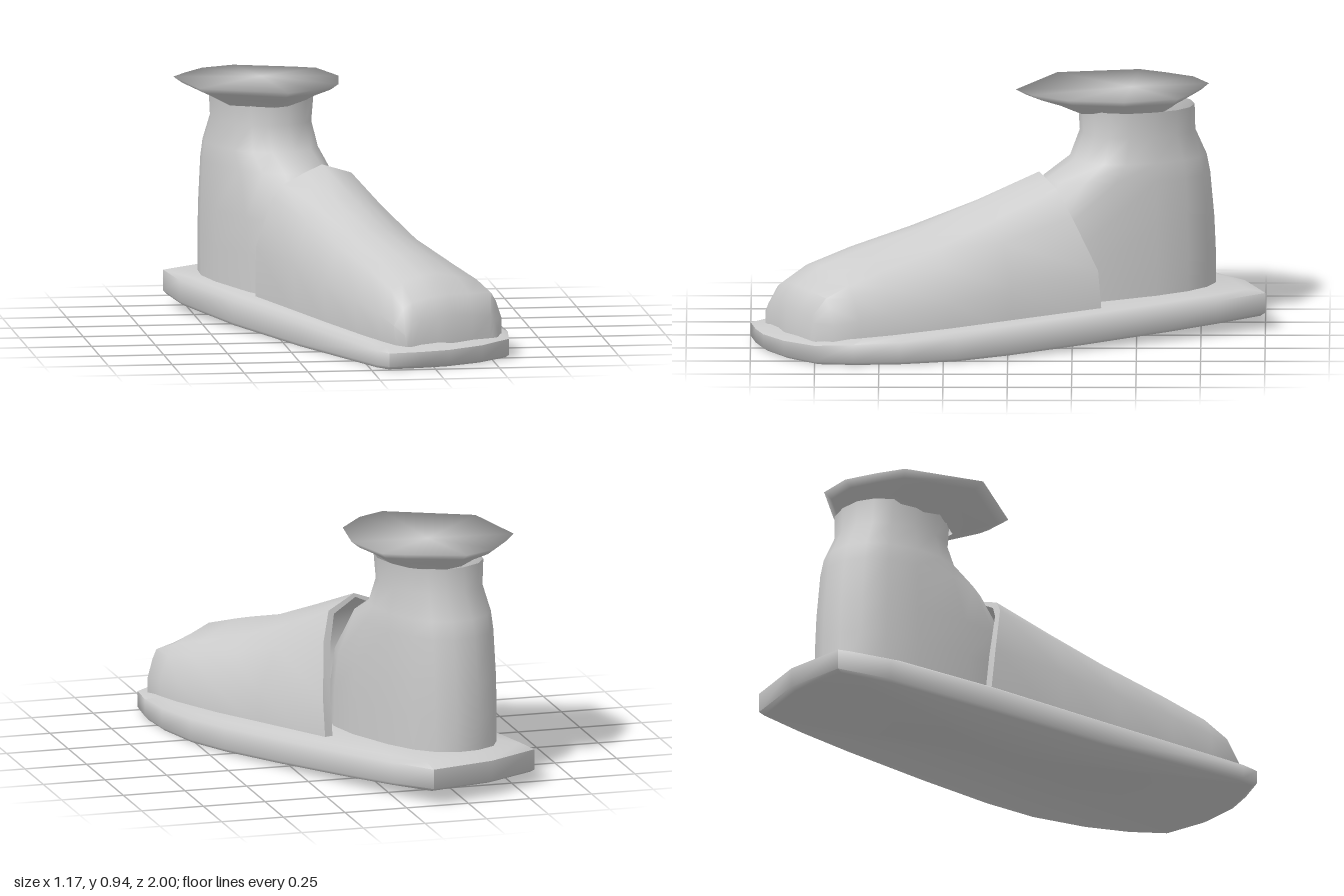
import * as THREE from 'three';
import { toCreasedNormals } from 'three/addons/utils/BufferGeometryUtils.js';

const grey = new THREE.MeshStandardMaterial({ color: 0xcccccc, side: THREE.DoubleSide });
grey.name = 'plain grey';

// The foot points outwards: u runs heel to toe, v runs across
const place = (u, v, y) => [0.37 * u + 0.93 * v, y, 0.93 * u - 0.37 * v];

// Skin a list of rings; capStart / capEnd are optional closing points
function loft(name, rings, { closed = true, capStart, capEnd, crease = 0.7 } = {}) {
  const n = rings[0].length, pos = rings.flat(2), index = [];
  const span = closed ? n : n - 1;
  for (let j = 0; j < rings.length - 1; j++) {
    for (let i = 0; i < span; i++) {
      const a = j * n + i, b = j * n + (i + 1) % n;
      index.push(a, b, b + n, a, b + n, a + n);
    }
  }
  const cap = (point, row, flip) => {
    const c = pos.length / 3;
    pos.push(...point);
    for (let i = 0; i < n; i++) {
      const a = row * n + i, b = row * n + (i + 1) % n;
      index.push(...(flip ? [b, a, c] : [a, b, c]));
    }
  };
  if (capStart) cap(capStart, 0, true);
  if (capEnd) cap(capEnd, rings.length - 1, false);
  const geo = new THREE.BufferGeometry();
  geo.setAttribute('position', new THREE.Float32BufferAttribute(pos, 3));
  geo.setIndex(index);
  const mesh = new THREE.Mesh(toCreasedNormals(geo, crease), grey);
  mesh.name = name;
  return mesh;
}

// Sole: one outline (x, z), rounded at the edges and lifting towards the heel
function makeSole() {
  const outline = [
    [-0.11, -1], [-0.37, -0.92], [-0.585, -0.775], [-0.55, -0.56], [-0.4, -0.13], [-0.2, 0.36],
    [0.03, 0.94], [0.07, 1], [0.2, 0.98], [0.31, 0.95], [0.45, 0.87], [0.57, 0.75], [0.585, 0.6],
    [0.57, 0.42], [0.52, 0.2], [0.44, 0], [0.3, -0.28], [0.12, -0.62], [0, -0.83],
  ];
  const bottom = z => 0.055 * Math.pow(Math.max(0, (0.3 - z) / 1.3), 1.3);
  const top = z => 0.117 - 0.04 * z;
  const ring = (s, height) => outline.map(([x, z]) => [x * s, height(z), z * s]);
  return loft('sole', [
    ring(0.98, bottom),
    ring(1, z => bottom(z) + 0.012),
    ring(1, z => top(z) - 0.012),
    ring(0.93, z => top(z) + 0.004),
  ], { capStart: [0, 0.008, 0], capEnd: [0, 0.121, 0], crease: 1.25 });
}

// Upper: open shell over the instep, sections from toe to ankle
function makeUpper() {
  // u, left foot, right foot, left ridge v, y, crest y, right ridge v, y
  const stations = [
    [0.93, -0.2, 0.2, -0.18, 0.08, 0.08, 0.17, 0.08],
    [0.925, -0.21, 0.215, -0.18, 0.17, 0.19, 0.18, 0.17],
    [0.88, -0.235, 0.26, -0.19, 0.24, 0.265, 0.21, 0.25],
    [0.78, -0.245, 0.28, -0.18, 0.305, 0.335, 0.2, 0.29],
    [0.6, -0.25, 0.295, -0.17, 0.365, 0.39, 0.18, 0.33],
    [0.35, -0.25, 0.3, -0.165, 0.43, 0.455, 0.15, 0.4],
    [0.1, -0.245, 0.285, -0.17, 0.5, 0.55, 0.14, 0.495],
    [-0.13, -0.24, 0.265, -0.19, 0.565, 0.64, 0.14, 0.595],
  ];
  const rings = stations.map(([u, bl, br, lv, ly, cy, rv, ry]) => {
    const section = [
      [bl, 0.08], [bl - 0.01, 0.08 + (ly - 0.08) * 0.5], [lv * 0.7 + bl * 0.3, 0.08 + (ly - 0.08) * 0.9],
      [lv * 0.85, ly + 0.005], [lv * 0.4, (ly + cy) / 2 + 0.008], [0, cy],
      [rv * 0.5, (ry + cy) / 2], [rv, ry], [rv * 0.55 + br * 0.45, 0.08 + (ry - 0.08) * 0.8],
      [br, 0.08 + (ry - 0.08) * 0.4], [br, 0.08],
    ];
    return section.map(([v, y]) => {
      const toeSlant = u > 0.7 ? 0.18 * Math.max(0, v) : 0;
      const backSweep = u < 0 ? (v > 0.05 ? 0.16 : 0.1) * Math.min(1, (0.64 - y) / 0.4) : 0;
      return place(u - toeSlant - backSweep, v, y);
    });
  });
  // Lip turned in towards the ankle
  const edge = rings[rings.length - 1];
  rings.push(edge.map(([x, y, z]) => [x * 0.85 - 0.012, y - 0.015, z + 0.06 * x]));
  return loft('upper', rings, { closed: false, crease: 0.8 });
}

// Ankle: oval rings narrowing to the neck, reaching forward under the upper
function makeAnkle() {
  const levels = [ // y, back reach, front reach, half width
    [0.1, 0.312, 0.55, 0.2], [0.28, 0.312, 0.54, 0.203], [0.42, 0.305, 0.51, 0.203], [0.6, 0.287, 0.38, 0.2],
    [0.67, 0.272, 0.265, 0.195], [0.77, 0.225, 0.225, 0.177], [0.87, 0.22, 0.23, 0.187],
  ];
  const soft = c => Math.sign(c) * Math.pow(Math.abs(c), 0.85);
  const rings = levels.map(([y, back, front, half]) => Array.from({ length: 16 }, (_, i) => {
    const t = i / 16 * Math.PI * 2, s = soft(Math.sin(t));
    return place(-0.555 + s * (s > 0 ? front : back), -0.036 - half * soft(Math.cos(t)), y);
  }));
  return loft('ankle', rings, { crease: 1 });
}

// Collar: uneven flared rim, flat on top and softly shaded
function makeCollar() {
  const outline = [
    [-0.58, -0.51], [-0.52, -0.19], [-0.19, -0.03], [-0.08, -0.09], [0.03, -0.23], [0.06, -0.45],
    [0, -0.66], [-0.08, -0.7], [-0.31, -0.78], [-0.44, -0.72], [-0.52, -0.61],
  ];
  const cx = -0.24, cz = -0.48;
  const ring = (s, y) => outline.map(([x, z]) => [cx + (x - cx) * s, y, cz + (z - cz) * s]);
  return loft('collar', [
    ring(0.5, 0.845), ring(0.68, 0.88), ring(0.9, 0.912), ring(1, 0.936),
  ], { capEnd: [cx, 0.936, cz], crease: 2.7 });
}

export function createModel() {
  const model = new THREE.Group();
  model.name = 'shoe';
  model.add(makeSole(), makeUpper(), makeAnkle(), makeCollar());
  return model;
}
